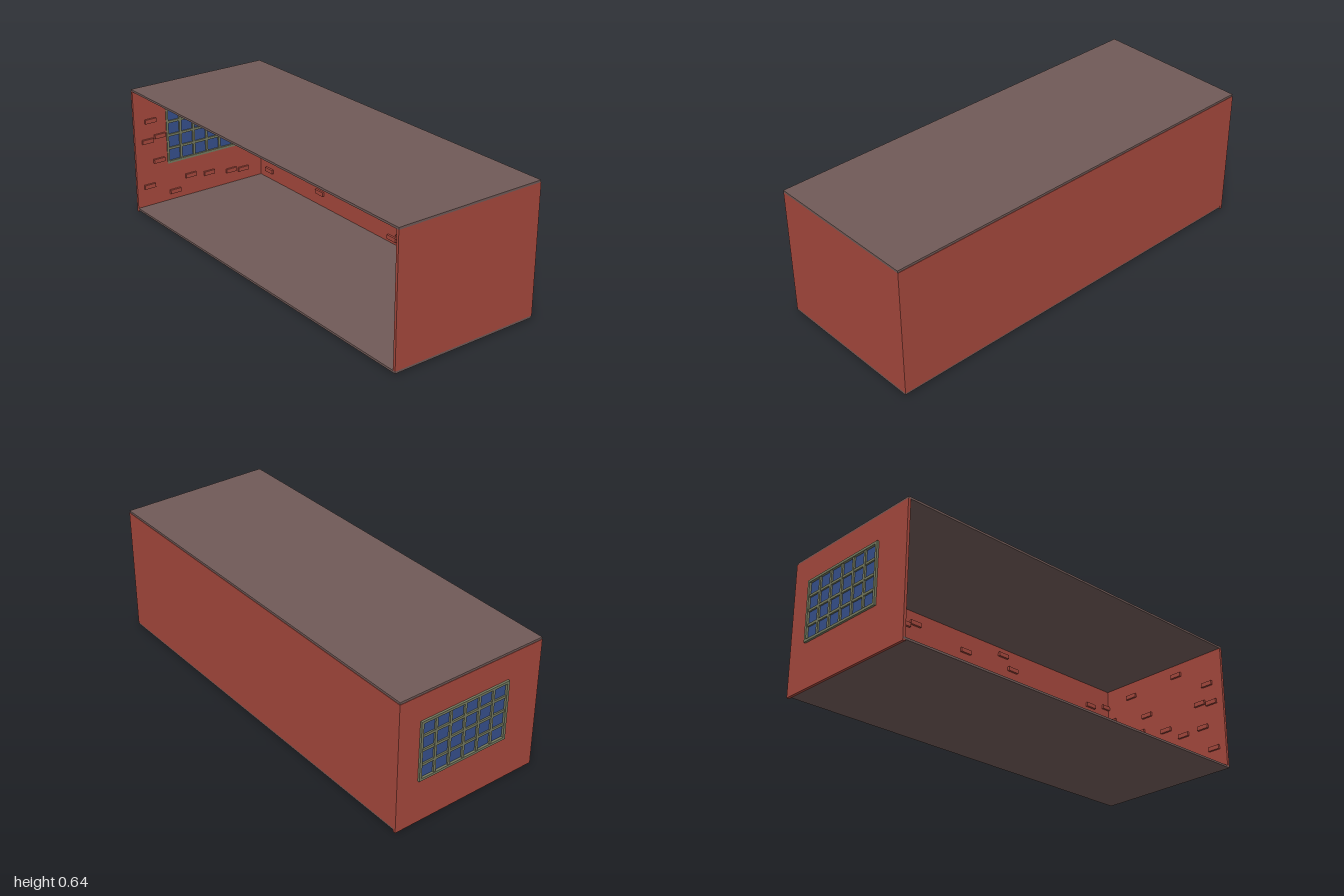
import * as THREE from 'three';

const brickRed = new THREE.MeshStandardMaterial({ color: 0xa5483d });
const slabGrey = new THREE.MeshStandardMaterial({ color: 0x705a57 });
const frameGreen = new THREE.MeshStandardMaterial({ color: 0x74795f });
const glassBlue = new THREE.MeshStandardMaterial({ color: 0x36508c });

// Box given by its minimum and maximum corners
function box(parent, name, material, [x0, y0, z0], [x1, y1, z1]) {
  const mesh = new THREE.Mesh(new THREE.BoxGeometry(x1 - x0, y1 - y0, z1 - z0), material);
  mesh.position.set((x0 + x1) / 2, (y0 + y1) / 2, (z0 + z1) / 2);
  mesh.name = name;
  parent.add(mesh);
  return mesh;
}

// Room limits
const LEFT = 0.996, RIGHT = -0.99, FRONT = 0.379, BACK = -0.379;
const FLOOR = 0.017, CEIL = 0.631, T = 0.013;
// Window opening
const WIN = { z0: -0.27, z1: 0.2, y0: 0.215, y1: 0.508 };
// Raised bricks
const BRICK = { w: 0.061, h: 0.021, d: 0.011 };

// Centres (x, y) of the raised bricks on the back wall
const backBricks = [
  [-0.893, 0.572], [-0.519, 0.594], [-0.396, 0.553], [-0.332, 0.572], [-0.583, 0.455],
  [-0.273, 0.38], [-0.77, 0.321], [-0.893, 0.3], [-0.642, 0.262], [-0.583, 0.241],
  [-0.086, 0.219], [-0.893, 0.064], [-0.46, 0.086], [-0.332, 0.123], [-0.021, 0.535],
  [0.225, 0.594], [0.289, 0.535], [0.225, 0.38], [0.599, 0.455], [0.845, 0.513],
  [0.845, 0.417], [0.965, 0.535], [0.965, 0.38], [0.599, 0.358], [0.535, 0.337],
  [0.289, 0.16], [0.16, 0.064], [0.1, 0.045], [0.658, 0.102], [0.909, 0.102],
];

// Centres (z, y) of the raised bricks on the side walls
const sideBricks = [
  [0.29, 0.464], [0.31, 0.361], [0.24, 0.375], [0.25, 0.247], [0.07, 0.123], [-0.04, 0.108],
  [0.164, 0.06], [0.31, 0.122], [-0.25, 0.078], [-0.175, 0.088], [-0.31, 0.215],
  [-0.34, 0.455], [0.1, 0.572], [-0.2, 0.553],
];
const plainWallBricks = [...sideBricks, [0.02, 0.3], [-0.1, 0.417], [0.13, 0.241], [-0.15, 0.337]];

function addSideBricks(parent, list, innerX, dir) {
  for (const [z, y] of list) {
    const xs = [innerX - dir * 0.002, innerX + dir * BRICK.d].sort((a, b) => a - b);
    box(parent, 'raisedBrick', brickRed,
      [xs[0], y - BRICK.h / 2, z - BRICK.w / 2], [xs[1], y + BRICK.h / 2, z + BRICK.w / 2]);
  }
}

// Wall with a window opening, made of four panels around the hole
function windowWall() {
  const g = new THREE.Group();
  g.name = 'rightWall';
  const x0 = RIGHT, x1 = RIGHT + T;
  box(g, 'wallBelowWindow', brickRed, [x0, 0, BACK], [x1, WIN.y0, FRONT]);
  box(g, 'wallAboveWindow', brickRed, [x0, WIN.y1, BACK], [x1, CEIL, FRONT]);
  box(g, 'wallBehindWindow', brickRed, [x0, WIN.y0, BACK], [x1, WIN.y1, WIN.z0]);
  box(g, 'wallBeforeWindow', brickRed, [x0, WIN.y0, WIN.z1], [x1, WIN.y1, FRONT]);
  addSideBricks(g, sideBricks, x1, 1);
  return g;
}

// Gridded window: outer frame, glazing bars and a pane
function gridWindow() {
  const g = new THREE.Group();
  g.name = 'window';
  const cols = 6, rows = 4, bar = 0.012;
  const x0 = -1, x1 = RIGHT + T + 0.004;
  const { z0, z1, y0, y1 } = WIN;
  for (let i = 0; i <= cols; i++) {
    const z = z0 + (z1 - z0 - bar) * i / cols;
    const inset = i === 0 || i === cols ? 0 : 0.003;
    box(g, inset ? 'verticalBar' : 'frameSide', frameGreen, [x0 + inset, y0, z], [x1 - inset, y1, z + bar]);
  }
  for (let j = 0; j <= rows; j++) {
    const y = y0 + (y1 - y0 - bar) * j / rows;
    const inset = j === 0 || j === rows ? 0 : 0.004;
    box(g, inset ? 'horizontalBar' : 'frameRail', frameGreen, [x0 + inset, y, z0], [x1 - inset, y + bar, z1]);
  }
  box(g, 'glass', glassBlue, [-0.989, y0 + 0.004, z0 + 0.004], [-0.984, y1 - 0.004, z1 - 0.004]);
  return g;
}

export function createModel() {
  const room = new THREE.Group();
  room.name = 'brickRoom';

  // Floor and ceiling slabs
  box(room, 'floor', slabGrey, [RIGHT + 0.004, 0.007, BACK + 0.002], [LEFT, FLOOR, FRONT]);
  box(room, 'ceiling', slabGrey, [RIGHT + 0.002, CEIL, BACK + 0.002], [LEFT, 0.641, FRONT]);

  // Back wall with raised bricks
  const back = new THREE.Group();
  back.name = 'backWall';
  box(back, 'backPanel', brickRed, [RIGHT + T, FLOOR, BACK], [LEFT, CEIL, BACK + T]);
  for (const [x, y] of backBricks) {
    box(back, 'raisedBrick', brickRed,
      [x - BRICK.w / 2, y - BRICK.h / 2, BACK + T - 0.002],
      [x + BRICK.w / 2, y + BRICK.h / 2, BACK + T + BRICK.d]);
  }
  room.add(back);

  // Plain side wall
  const left = new THREE.Group();
  left.name = 'leftWall';
  box(left, 'leftPanel', brickRed, [LEFT - T, FLOOR, BACK + T], [LEFT, CEIL, FRONT]);
  addSideBricks(left, plainWallBricks, LEFT - T, -1);
  room.add(left);

  // Side wall with window
  room.add(windowWall(), gridWindow());
  return room;
}
